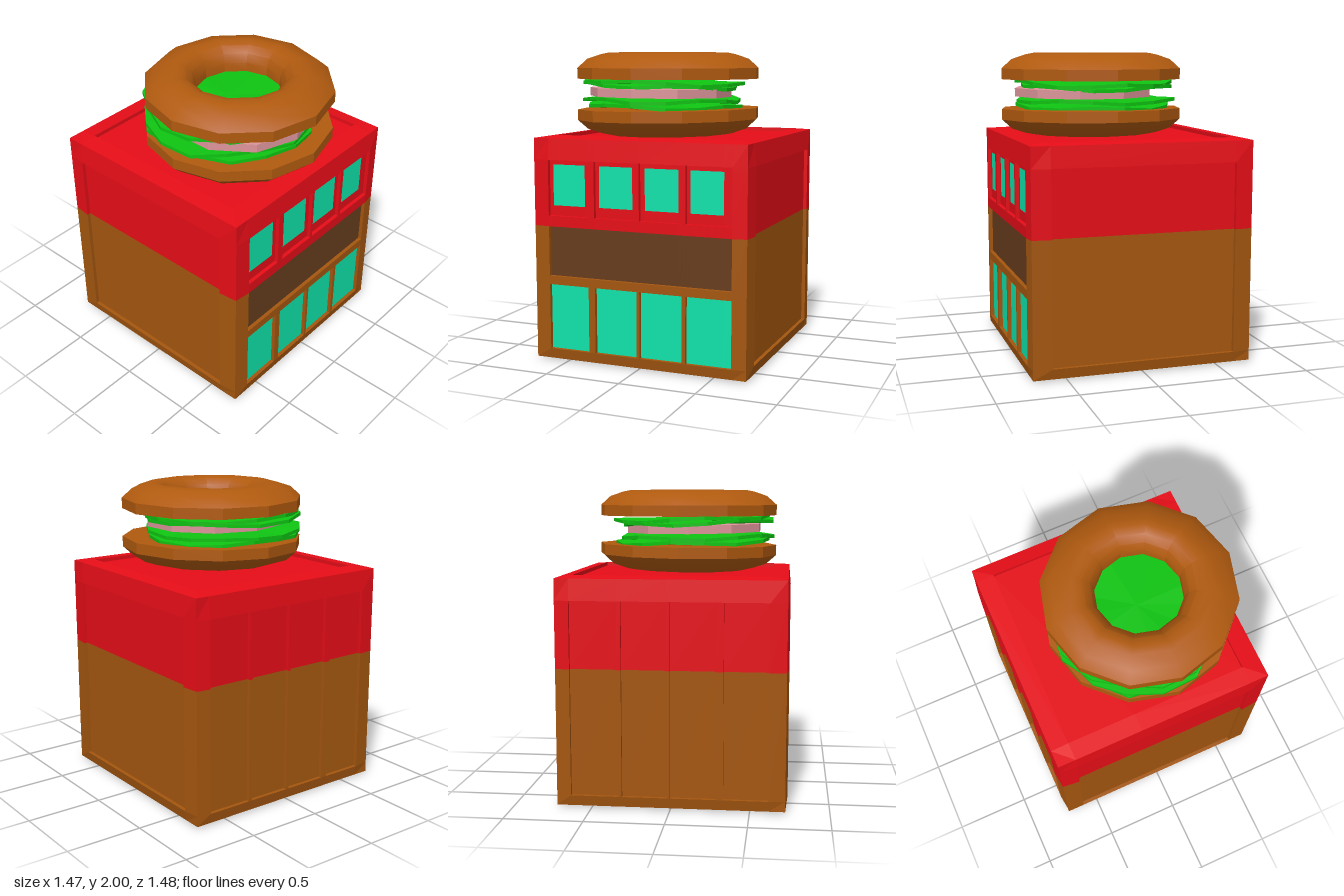
import * as THREE from 'three';
import { toCreasedNormals } from 'three/addons/utils/BufferGeometryUtils.js';

const RED = 0xe60d17, BROWN = 0xa4560f, DARK = 0x663c1c, CYAN = 0x10e3ab;
const GREEN = 0x0fc412, PINK = 0xdc949a, BUN = 0xb05a0f;
const HALF = 0.735, EDGE = 0.722, DEPTH = 0.025, MID = 0.735, SPLIT = 0.89 - MID;

const material = (color, extra = {}) => new THREE.MeshStandardMaterial({ color, ...extra });

// One wall of the building: a grid of cells, where each listed panel
// [x0, x1, y0, y1, color] is sunk below the surrounding frame.
function panelFace(name, panels, baseColor) {
  const breaks = (i) => [...new Set([-HALF, HALF, ...(i ? [SPLIT] : []),
    ...panels.flatMap((p) => [p[i * 2], p[i * 2 + 1]])])].sort((a, b) => a - b);
  const xs = breaks(0), ys = breaks(1), byColor = new Map();
  const panelAt = (x, y) => panels.findLast((p) => x > p[0] && x < p[1] && y > p[2] && y < p[3]);
  const clampEdge = (v) => Math.max(-EDGE, Math.min(EDGE, v));
  // the outer rim falls back slightly, so the cube has softened edges
  const point = (x, y, depth) => {
    const rim = Math.abs(x) === HALF || Math.abs(y) === HALF;
    return [clampEdge(x), clampEdge(y), (rim ? EDGE : HALF) - depth];
  };
  const quad = (color, a, b, c, d) => {
    if (!byColor.has(color)) byColor.set(color, []);
    byColor.get(color).push(...a, ...b, ...c, ...a, ...c, ...d);
  };
  for (let i = 0; i + 1 < xs.length; i++) {
    for (let j = 0; j + 1 < ys.length; j++) {
      const [x0, x1, y0, y1] = [xs[i], xs[i + 1], ys[j], ys[j + 1]];
      const cx = (x0 + x1) / 2, cy = (y0 + y1) / 2;
      const panel = panelAt(cx, cy), base = baseColor(cy);
      const corners = [[x0, y0], [x1, y0], [x1, y1], [x0, y1]];
      quad(panel?.[4] ?? base, ...corners.map((c) => point(...c, panel ? DEPTH : 0)));
      if (!panel) continue;
      // step between the sunk cell and any raised neighbour
      const neighbours = [[cx, y0 - 1e-4], [x1 + 1e-4, cy], [cx, y1 + 1e-4], [x0 - 1e-4, cy]];
      neighbours.forEach((n, k) => {
        if (panelAt(...n)) return;
        const a = corners[k], b = corners[(k + 1) % 4];
        quad(base, point(...a, DEPTH), point(...a, 0), point(...b, 0), point(...b, DEPTH));
      });
    }
  }
  const face = new THREE.Group();
  face.name = name;
  const partNames = { [RED]: 'redWall', [BROWN]: 'brownWall', [DARK]: 'signBoard', [CYAN]: 'windows' };
  for (const [color, positions] of byColor) {
    const geometry = new THREE.BufferGeometry();
    geometry.setAttribute('position', new THREE.Float32BufferAttribute(positions, 3));
    geometry.computeVertexNormals();
    const mesh = new THREE.Mesh(geometry, material(color));
    mesh.name = partNames[color];
    face.add(mesh);
  }
  return face;
}

function createBuilding() {
  const building = new THREE.Group();
  building.name = 'building';
  building.position.set(0, MID, -0.005);
  const y = (v) => v - MID;
  const columns = [[-0.615, -0.335], [-0.29, 0], [0.02, 0.305], [0.33, 0.63]];
  const upperWindows = [[-0.59, -0.365], [-0.265, -0.035], [0.05, 0.275], [0.355, 0.57]];
  const twoTone = (v) => (v > SPLIT ? RED : BROWN);
  const low = y(0.08), high = y(1.32);

  const frontPanels = [
    ...columns.map((c) => [...c, low, y(0.51), CYAN]),
    [-0.615, 0.63, y(0.565), SPLIT, DARK],
    ...columns.map((c) => [...c, y(0.96), high]),
    ...upperWindows.map((c) => [...c, y(1.025), y(1.29), CYAN]),
  ];
  const backPanels = columns.map(([a, b]) => [-b, -a, low, high]);
  const bottomPanels = columns.map((c) => [...c, -0.605, 0.595]);

  const add = (name, panels, color, rx, ry) => {
    const face = panelFace(name, panels, color);
    face.rotation.set(rx, ry, 0);
    building.add(face);
  };
  add('front', frontPanels, twoTone, 0, 0);
  add('back', backPanels, twoTone, 0, Math.PI);
  add('leftSide', [[-0.6, 0.605, low, high]], twoTone, 0, Math.PI / 2);
  add('rightSide', [[-0.605, 0.6, low, high]], twoTone, 0, -Math.PI / 2);
  add('roof', [[-0.61, 0.63, -0.595, 0.605]], () => RED, -Math.PI / 2, 0);
  add('underside', bottomPanels, () => BROWN, Math.PI / 2, 0);
  return building;
}

// Half of a ring-shaped bun, flat side at y = 0
function bunHalf(name) {
  const profile = [[0.275, 0], [0.607, 0], [0.607, 0.07], [0.54, 0.13], [0.45, 0.16], [0.4, 0.17],
    [0.345, 0.155], [0.3, 0.115], [0.277, 0.06], [0.275, 0]].map((p) => new THREE.Vector2(...p));
  const geometry = toCreasedNormals(new THREE.LatheGeometry(profile, 12), 0.5);
  const mesh = new THREE.Mesh(geometry, material(BUN));
  mesh.name = name;
  return mesh;
}

// Thin disc whose rim wobbles in radius and height
function slice(name, color, { x, y, z, radius, thick, sides, wave = 0, ragged = 0, phase = 0, tilt = 0 }) {
  const geometry = new THREE.CylinderGeometry(radius, radius, thick, sides);
  const pos = geometry.attributes.position;
  for (let i = 0; i < pos.count; i++) {
    const px = pos.getX(i), pz = pos.getZ(i);
    if (Math.hypot(px, pz) < 1e-6) continue;
    const a = Math.atan2(pz, px) + phase;
    const s = 1 + ragged * (Math.sin(3 * a) + 0.7 * Math.sin(5 * a + 1));
    pos.setXYZ(i, px * s, pos.getY(i) + wave * Math.sin(4 * a + phase), pz * s);
  }
  geometry.computeVertexNormals();
  const mesh = new THREE.Mesh(geometry, material(color, { flatShading: true }));
  mesh.name = name;
  mesh.position.set(x, y, z);
  mesh.rotation.z = tilt;
  return mesh;
}

function createSandwich() {
  const sandwich = new THREE.Group();
  sandwich.name = 'sandwich';
  sandwich.position.set(-0.025, 0, 0.13);

  const top = bunHalf('topBun');
  top.position.y = 1.83;
  const bottom = bunHalf('bottomBun');
  bottom.position.y = 1.635;
  bottom.rotation.set(Math.PI, 0, -0.012);
  sandwich.add(top, bottom);

  // lettuce above and below the meat
  const leaves = [
    { x: -0.05, y: 1.808, z: -0.04, radius: 0.53, phase: 0.4, tilt: -0.035 },
    { x: -0.07, y: 1.785, z: -0.06, radius: 0.52, phase: 2.1, tilt: -0.03 },
    { x: -0.06, y: 1.69, z: -0.05, radius: 0.53, phase: 3.6, tilt: -0.01 },
    { x: -0.05, y: 1.655, z: -0.03, radius: 0.52, phase: 5.2, tilt: -0.02 },
  ];
  for (const leaf of leaves) {
    sandwich.add(slice('lettuce', GREEN, { thick: 0.022, sides: 15, wave: 0.011, ragged: 0.035, ...leaf }));
  }
  sandwich.add(slice('meat', PINK, { x: -0.045, y: 1.742, z: 0.04, radius: 0.47, thick: 0.055, sides: 10, tilt: -0.01 }));
  return sandwich;
}

export function createModel() {
  const model = new THREE.Group();
  model.name = 'sandwichShop';
  model.add(createBuilding(), createSandwich());
  return model;
}
